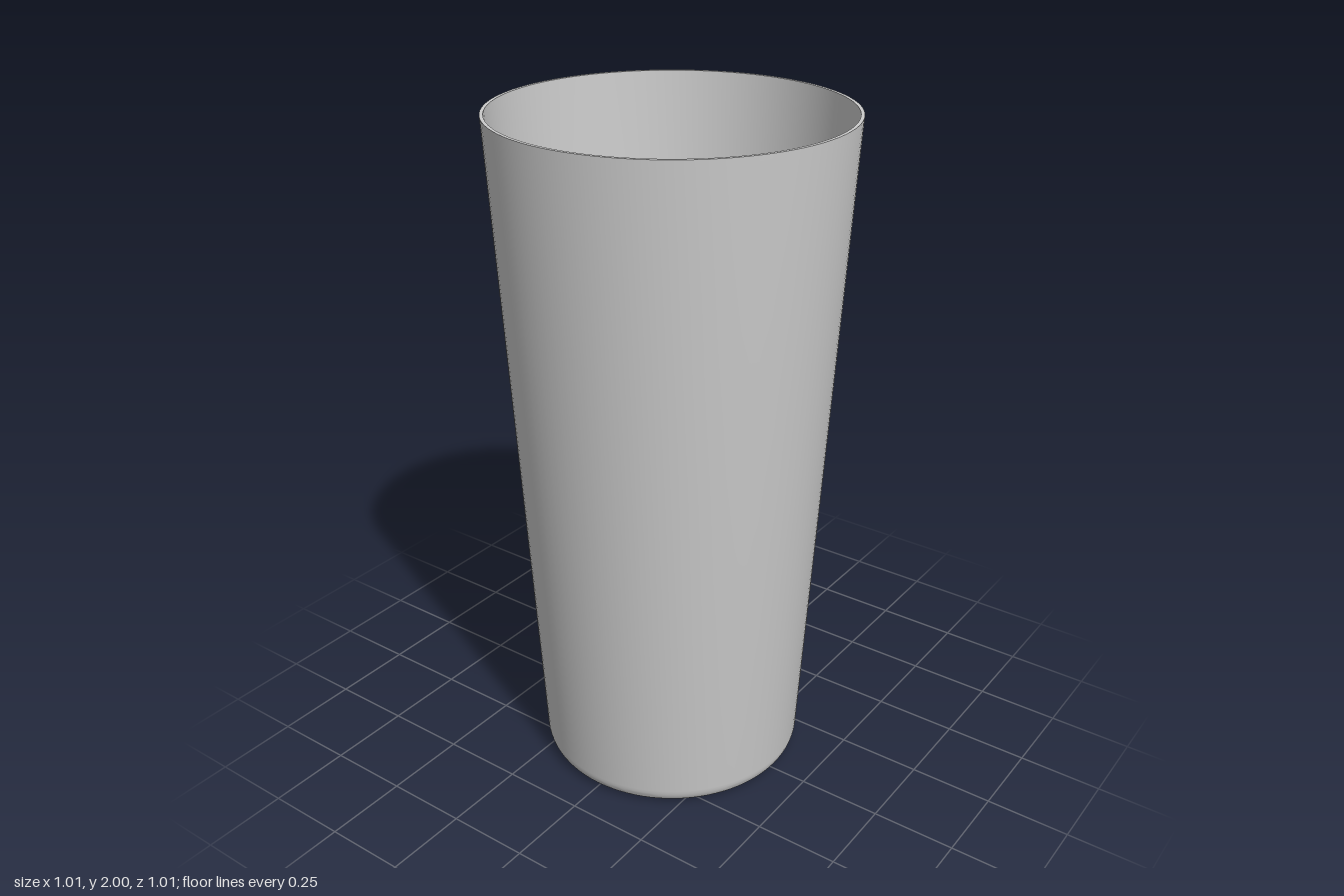
import * as THREE from 'three';
import { toCreasedNormals } from 'three/addons/utils/BufferGeometryUtils.js';

const SEGMENTS = 96;

// Half section of one skin: floor centre, rounded corner, tapering wall to the rim
function skin(floorY, floorRadius, wallRadius, wallY, rimRadius) {
  const corner = new THREE.QuadraticBezierCurve(
    new THREE.Vector2(floorRadius, floorY),
    new THREE.Vector2(wallRadius - 0.004, floorY + 0.004),
    new THREE.Vector2(wallRadius, wallY)
  );
  return [
    new THREE.Vector2(0, floorY),
    ...corner.getPoints(8),
    new THREE.Vector2(rimRadius, 2)
  ];
}

export function createModel() {
  const group = new THREE.Group();
  group.name = 'tumbler';

  // Outer skin upward, across the flat rim, then inner skin back down
  const outer = skin(0, 0.36, 0.4, 0.05, 0.505);
  const inner = skin(0.012, 0.352, 0.39, 0.06, 0.495).reverse();
  const profile = [...outer, ...inner];

  const geometry = toCreasedNormals(new THREE.LatheGeometry(profile, SEGMENTS), 0.9);
  const cup = new THREE.Mesh(geometry, new THREE.MeshStandardMaterial({ color: 0xcccccc }));
  cup.name = 'cup';
  group.add(cup);

  return group;
}
